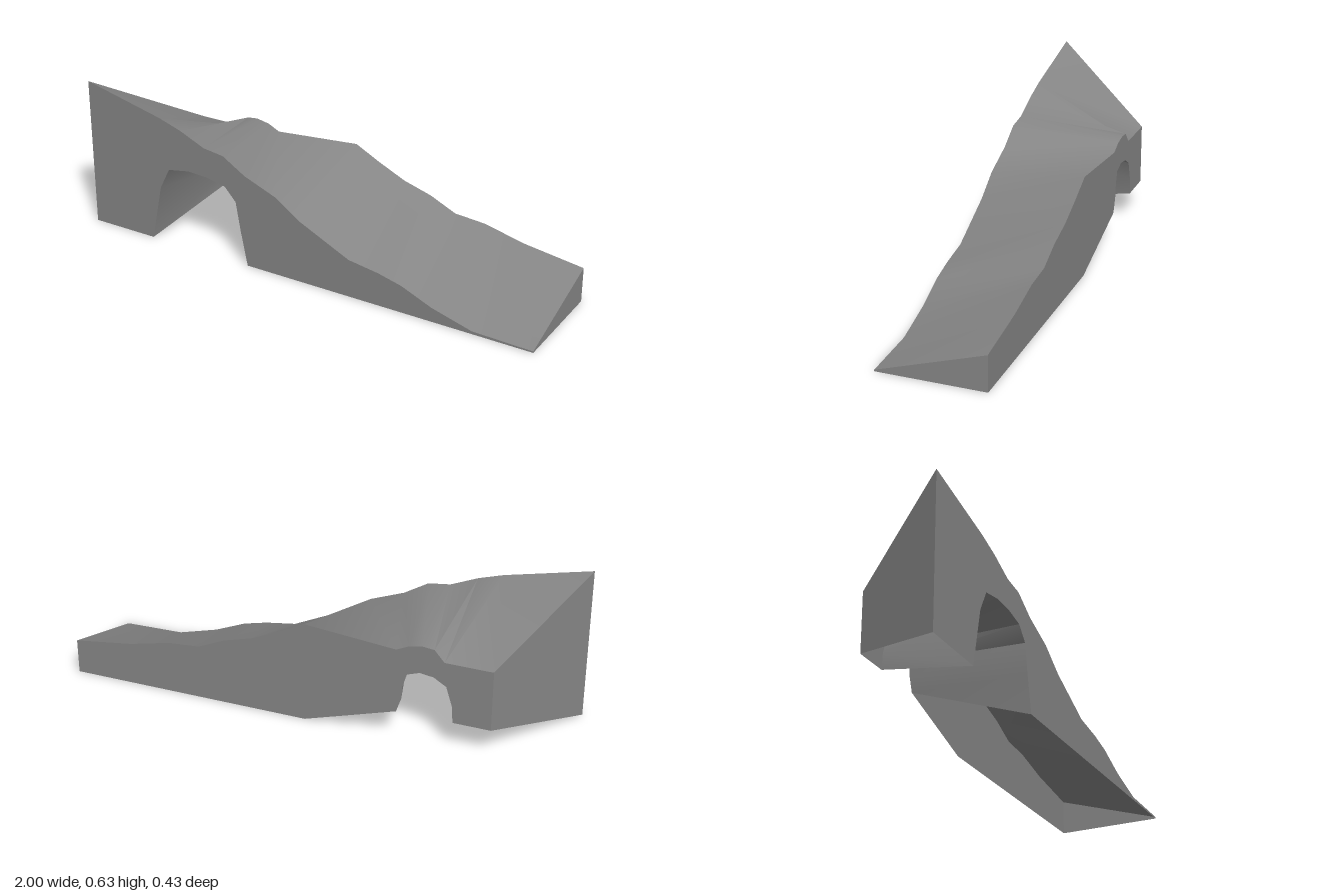
import * as THREE from 'three';
import { toCreasedNormals } from 'three/addons/utils/BufferGeometryUtils.js';

const Z = 0.216; // half depth

// Height profiles [x, y] of the ground, column by column
const frontTop = [[-1, 0.63], [-0.65, 0.548], [-0.55, 0.516], [-0.44, 0.468], [-0.35, 0.456], [-0.25, 0.395], [-0.11, 0.34],
  [0, 0.265], [0.22, 0.16], [0.35, 0.14], [0.45, 0.115], [0.58, 0.06], [0.75, 0.012], [1, 0.006]];
const backTop = [[-0.75, 0.37], [-0.56, 0.371], [-0.52, 0.417], [-0.475, 0.422], [-0.42, 0.412], [-0.37, 0.388], [0, 0.421],
  [0.1, 0.37], [0.22, 0.315], [0.34, 0.28], [0.45, 0.23], [0.58, 0.22], [0.75, 0.18], [1, 0.145]];

// Tunnel openings, from the left foot over the crown to the right foot
const frontArch = [[-0.71, 0], [-0.66, 0.24], [-0.615, 0.33], [-0.52, 0.347], [-0.43, 0.343], [-0.345, 0.325], [-0.295, 0.27],
  [-0.275, 0.15], [-0.245, 0]];
const backArch = [[-0.6, 0.12], [-0.595, 0.19], [-0.57, 0.27], [-0.52, 0.3], [-0.465, 0.308], [-0.415, 0.29], [-0.4, 0.24],
  [-0.395, 0.18], [-0.375, 0.12]];

const material = new THREE.MeshStandardMaterial({ color: 0x858585, side: THREE.DoubleSide });

// Ruled surface between a front line and a back line with equal point counts
function loft(name, front, back, crease) {
  const positions = [];
  const index = [];
  front.forEach((p, i) => positions.push(p[0], p[1], Z, back[i][0], back[i][1], -Z));
  for (let i = 0; i < front.length - 1; i++) {
    const f = 2 * i, b = f + 1, f2 = f + 2, b2 = f + 3;
    index.push(f, f2, b, f2, b2, b);
  }
  const geometry = new THREE.BufferGeometry();
  geometry.setAttribute('position', new THREE.Float32BufferAttribute(positions, 3));
  geometry.setIndex(index);
  const mesh = new THREE.Mesh(toCreasedNormals(geometry, crease), material);
  mesh.name = name;
  return mesh;
}

// Flat wall filling an outline at depth z
function wall(name, outline, z) {
  const geometry = new THREE.ShapeGeometry(new THREE.Shape(outline.map(([x, y]) => new THREE.Vector2(x, y))));
  if (z < 0) {
    geometry.index.array.reverse(); // face backwards
    const normal = geometry.attributes.normal;
    for (let i = 0; i < normal.count; i++) normal.setZ(i, -1);
  }
  geometry.translate(0, 0, z);
  const mesh = new THREE.Mesh(geometry, material);
  mesh.name = name;
  return mesh;
}

export function createModel() {
  const group = new THREE.Group();
  group.name = 'hillWithTunnel';

  // Sloping ground and the tunnel lining
  group.add(loft('groundSurface', frontTop, backTop, 1.0));
  group.add(loft('tunnelLining', [...frontArch].reverse(), [...backArch].reverse(), 0.5));

  // Side walls with the arch cut from their lower edge; the underside stays open
  group.add(wall('frontWall', [[-1, 0], ...frontArch, [1, 0], ...[...frontTop].reverse()], Z));
  group.add(wall('backWall', [[-0.75, 0.12], ...backArch, [0, 0], [1, 0], ...[...backTop].reverse()], -Z));

  // End walls
  group.add(loft('highEndWall', [[-1, 0], frontTop[0]], [[-0.75, 0.12], backTop[0]], 0.1));
  group.add(loft('lowEndWall', [frontTop.at(-1), [1, 0]], [backTop.at(-1), [1, 0]], 0.1));
  return group;
}
